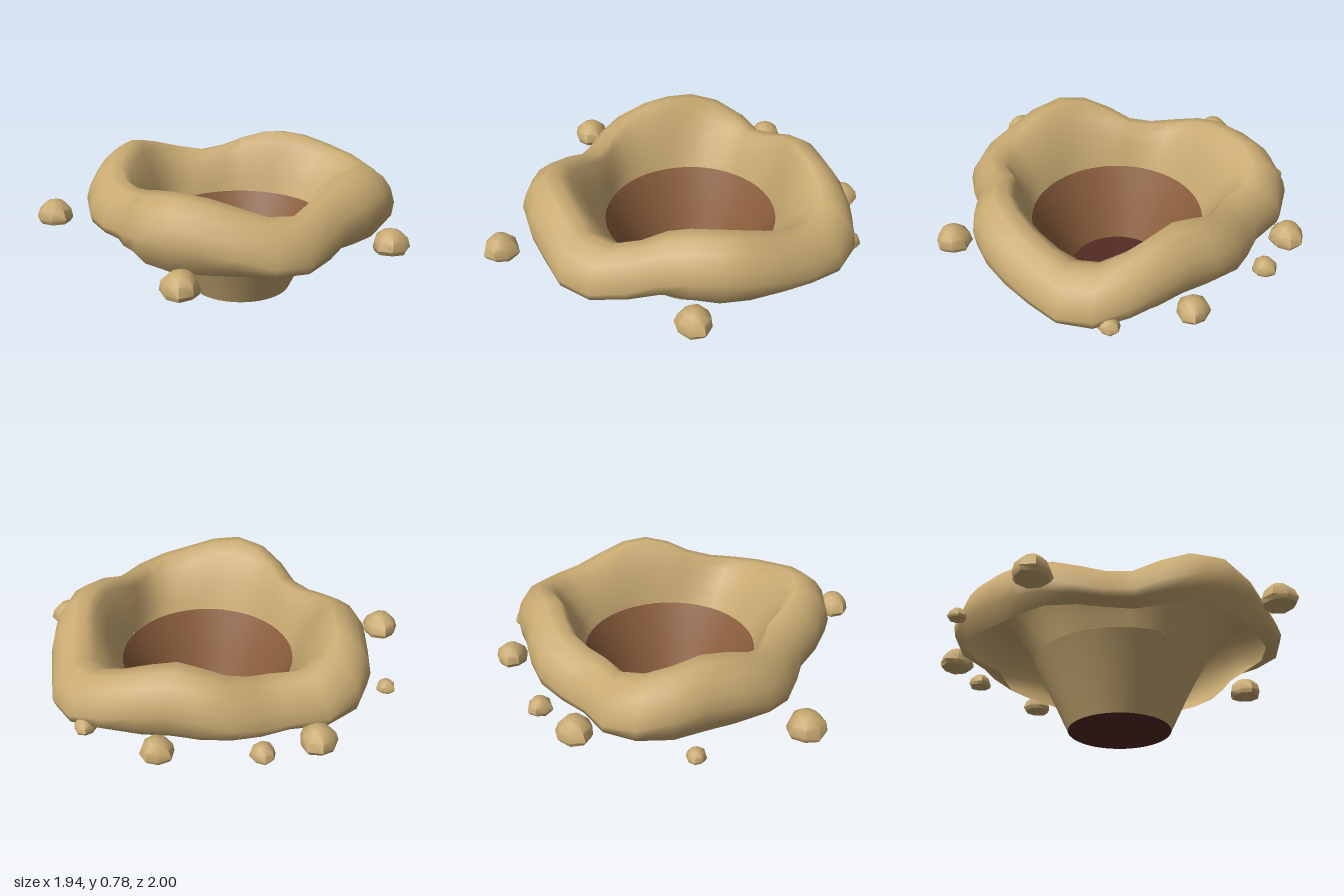
import * as THREE from 'three';
import { toCreasedNormals } from 'three/addons/utils/BufferGeometryUtils.js';

const GROUND = 0.42;            // height of the rim's foot
const CX = 0.025, CZ = 0.01;    // axis of the burrow

// Outer radius of the mound, every 11.25 degrees from +x towards +z
const OUTER = [
  0.89, 0.94, 0.93, 0.88, 0.86, 0.85, 0.83, 0.79,
  0.765, 0.82, 0.90, 0.925, 0.90, 0.905, 0.915, 0.89,
  0.825, 0.765, 0.79, 0.84, 0.87, 0.87, 0.88, 0.93,
  0.95, 0.90, 0.80, 0.80, 0.82, 0.81, 0.80, 0.84,
];

// Cross-section of the mound at angle index i, from outer foot over the crest to the hole
function section(i) {
  const o = OUTER[i];
  const wave = -0.06 * Math.sin(4 * (i / OUTER.length) * Math.PI * 2);
  const crest = o - 0.2, hole = 0.485;
  const inner = (t) => hole + (crest - hole) * t;
  return [
    [o - 0.07 + 0.4 * Math.min(0, wave), GROUND],
    [o - 0.01, 0.47 + wave * 0.6],
    [o, 0.53 + wave],
    [o - 0.02, 0.6 + wave],
    [o - 0.065, 0.665 + wave],
    [o - 0.13, 0.71 + wave],
    [crest, 0.72 + wave],
    [inner(0.72), 0.675 + wave * 0.9],
    [inner(0.42), 0.59 + wave * 0.6],
    [inner(0.18), 0.5 + wave * 0.3],
    [hole, GROUND],
  ];
}

function moundGeometry() {
  const pos = [], index = [], n = OUTER.length;
  let m = 0;
  for (let i = 0; i < n; i++) {
    const a = (i / n) * Math.PI * 2, pts = section(i);
    m = pts.length;
    for (const [r, y] of pts) pos.push(r * Math.cos(a), Math.max(y, GROUND), r * Math.sin(a));
  }
  for (let i = 0; i < n; i++) {
    for (let j = 0; j < m - 1; j++) {
      const a = i * m + j, b = ((i + 1) % n) * m + j;
      index.push(a, a + 1, b, b, a + 1, b + 1);
    }
  }
  const g = new THREE.BufferGeometry();
  g.setAttribute('position', new THREE.Float32BufferAttribute(pos, 3));
  g.setIndex(index);
  g.computeVertexNormals();
  return g;
}

// Lumpy clod with a flat underside
function clodGeometry(r, seed) {
  const g = new THREE.SphereGeometry(r, 8, 6);
  const p = g.attributes.position;
  const v = new THREE.Vector3();
  for (let i = 0; i < p.count; i++) {
    v.fromBufferAttribute(p, i);
    const a = Math.atan2(v.z, v.x), ring = Math.hypot(v.x, v.z) / r;
    const k = 1 + 0.07 * ring * Math.sin(3 * a + seed * 2.3 + v.y / r * 2);
    p.setXYZ(i, v.x * k, Math.max(v.y + 0.25 * r, 0), v.z * k);
  }
  return toCreasedNormals(g, 0.75);
}

export function createModel() {
  const model = new THREE.Group();
  model.name = 'burrow';
  const material = (name, color, side = THREE.FrontSide) => {
    const m = new THREE.MeshStandardMaterial({ color, side });
    m.name = name;
    return m;
  };
  const sand = material('sand', 0xc8aa72, THREE.DoubleSide);
  const earth = material('earth', 0x8b5e3c);
  const darkEarth = material('darkEarth', 0x522b23, THREE.DoubleSide);

  const add = (name, geometry, mat, x = CX, y = 0, z = CZ) => {
    const mesh = new THREE.Mesh(geometry, mat);
    mesh.name = name;
    mesh.position.set(x, y, z);
    model.add(mesh);
  };
  const lathe = (pts) => new THREE.LatheGeometry(pts.map(([r, y]) => new THREE.Vector2(r, y)), 48);

  // Wavy mound around the hole
  add('moundRim', moundGeometry(), sand);

  // Tapered shaft: outside, lining and floor
  const shaft = [[0.287, 0.02], [0.395, 0.25], [0.485, GROUND]];
  const shell = sand.clone();
  shell.side = THREE.FrontSide;
  add('shaftOutside', lathe(shaft), sand);
  add('shaftLining', lathe(shaft.map(([r, y]) => [r - 0.005, y]).reverse()), earth);
  add('shaftFloor', lathe([[0, 0], [0.287, 0.02]]), darkEarth);

  // Scattered clods: x, z, radius
  const clods = [
    [-0.27, -0.95, 0.05], [0.33, -0.885, 0.095], [0.56, -0.715, 0.065], [0.85, -0.3, 0.085],
    [0.915, 0.11, 0.058], [0.225, 0.9, 0.095], [-0.88, 0.56, 0.095], [-0.765, -0.665, 0.1],
  ];
  clods.forEach(([x, z, r], i) => add('clod' + (i + 1), clodGeometry(r, i), sand, x, GROUND, z));
  return model;
}
